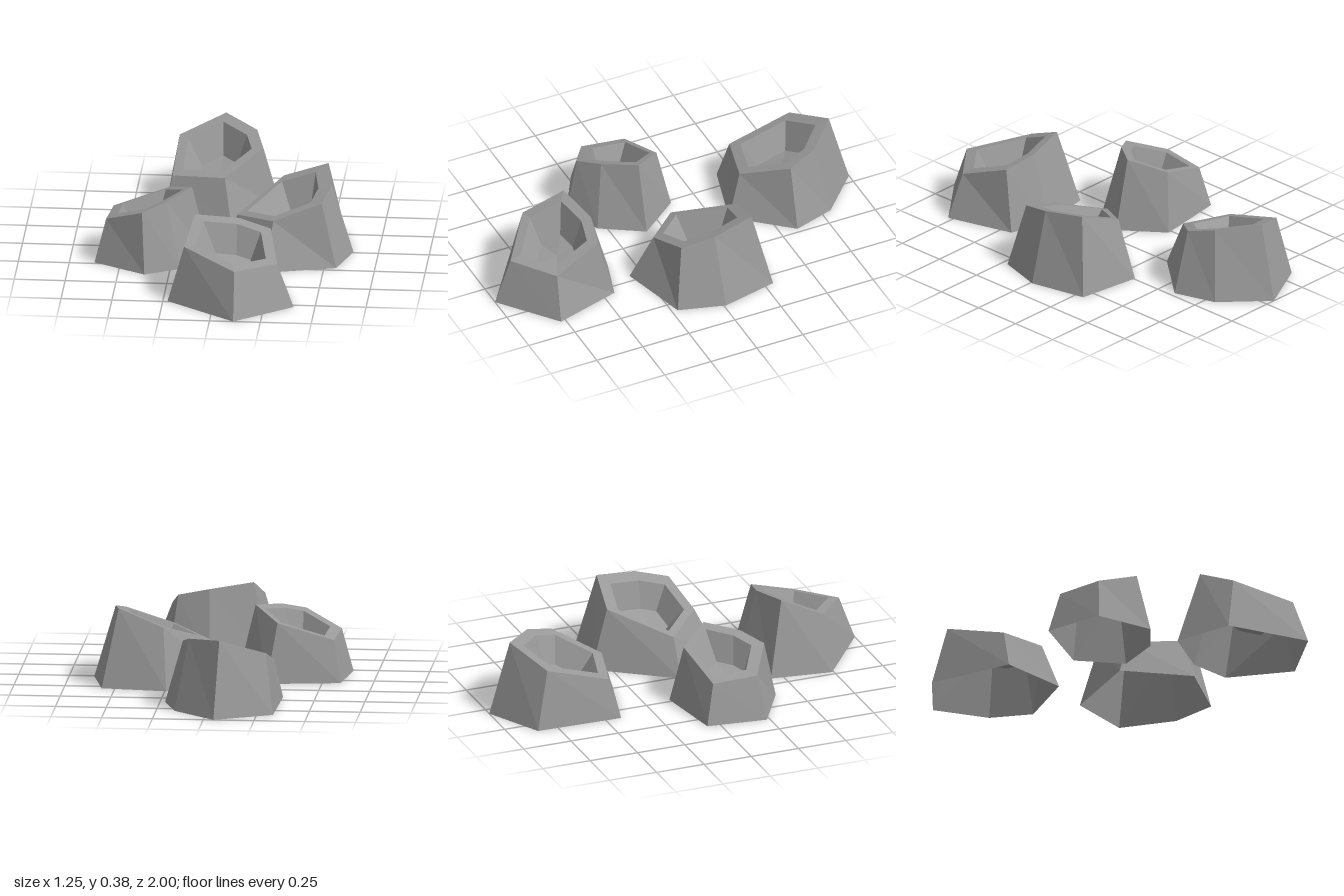
import * as THREE from 'three';

// Each hollow shell: footprint [x, z] and tilted rim [x, y, z], six corners in the same order,
// and how far the cup mouth sits off the middle of the rim [x, z].
const shells = [
  {
    name: 'backShell', shift: [-0.006, 0.007],
    base: [[-0.05, -1], [0.16, -0.8], [0.225, -0.59], [0, -0.325], [-0.34, -0.42], [-0.33, -0.855]],
    rim: [[-0.07, 0.375, -0.9], [0.095, 0.35, -0.74], [0.137, 0.31, -0.595],
      [-0.037, 0.22, -0.4], [-0.3, 0.2, -0.47], [-0.29, 0.295, -0.79]],
  },
  {
    name: 'leftShell', shift: [-0.024, 0],
    base: [[-0.02, 0.025], [0.243, -0.34], [0.565, -0.295], [0.627, -0.01], [0.56, 0.22], [0.21, 0.315]],
    rim: [[0.06, 0.19, 0.02], [0.265, 0.3, -0.25], [0.488, 0.385, -0.215],
      [0.522, 0.355, 0], [0.485, 0.315, 0.165], [0.25, 0.23, 0.205]],
  },
  {
    name: 'frontShell', shift: [-0.003, 0.005],
    base: [[-0.185, 0.435], [0.095, 0.377], [0.3, 0.44], [0.396, 0.775], [0.116, 1], [-0.227, 0.742]],
    rim: [[-0.11, 0.375, 0.52], [0.105, 0.345, 0.475], [0.262, 0.307, 0.51],
      [0.313, 0.217, 0.757], [0.115, 0.227, 0.916], [-0.147, 0.28, 0.725]],
  },
  {
    name: 'rightShell', shift: [0.004, -0.018],
    base: [[-0.59, -0.065], [-0.23, -0.12], [-0.073, 0.087], [-0.2, 0.293], [-0.37, 0.385], [-0.627, 0.235]],
    rim: [[-0.553, 0.205, -0.02], [-0.28, 0.294, -0.065], [-0.158, 0.353, 0.09],
      [-0.273, 0.33, 0.24], [-0.387, 0.296, 0.317], [-0.572, 0.219, 0.205]],
  },
];

function shellGeometry({ base, rim, shift }) {
  const foot = base.map(([x, z]) => new THREE.Vector3(x, 0, z));
  const outer = rim.map((p) => new THREE.Vector3(...p));
  const n = outer.length;
  const centre = new THREE.Vector3();
  outer.forEach((p) => centre.addScaledVector(p, 1 / n));

  // Normal of the tilted rim plane
  const normal = new THREE.Vector3();
  outer.forEach((p, i) => {
    const next = outer[(i + 1) % n].clone().sub(centre);
    normal.add(next.cross(p.clone().sub(centre)));
  });

  // Copies the rim smaller, moved sideways along its plane and sunk straight down
  const inset = (scale, [dx, dz], depth) => {
    const dy = -(normal.x * dx + normal.z * dz) / normal.y - depth;
    const offset = new THREE.Vector3(dx, dy, dz);
    return outer.map((p) => centre.clone().lerp(p, scale).add(offset));
  };
  const cupMouth = inset(0.755, shift, 0);
  const cupFloor = inset(0.46, [0, 0], 0.13);
  const middle = centre.clone();
  middle.y -= 0.138;

  // Outer wall, lip, cup wall, then the floor as a fan
  const rings = [foot, outer, cupMouth, cupFloor];
  const points = [];
  for (let i = 0; i < n; i++) {
    const j = (i + 1) % n;
    for (let k = 0; k < rings.length - 1; k++) {
      const [a, b] = [rings[k], rings[k + 1]];
      points.push(a[i], b[i], b[j], a[i], b[j], a[j]);
    }
    points.push(cupFloor[i], middle, cupFloor[j]);
  }
  const geometry = new THREE.BufferGeometry().setFromPoints(points);
  geometry.computeVertexNormals();
  return geometry;
}

export function createModel() {
  const group = new THREE.Group();
  group.name = 'shellCluster';
  // Dark grey; the shells are open underneath
  const material = new THREE.MeshStandardMaterial({
    color: 0x999999, flatShading: true, side: THREE.DoubleSide,
  });
  for (const shell of shells) {
    const mesh = new THREE.Mesh(shellGeometry(shell), material);
    mesh.name = shell.name;
    group.add(mesh);
  }
  return group;
}
